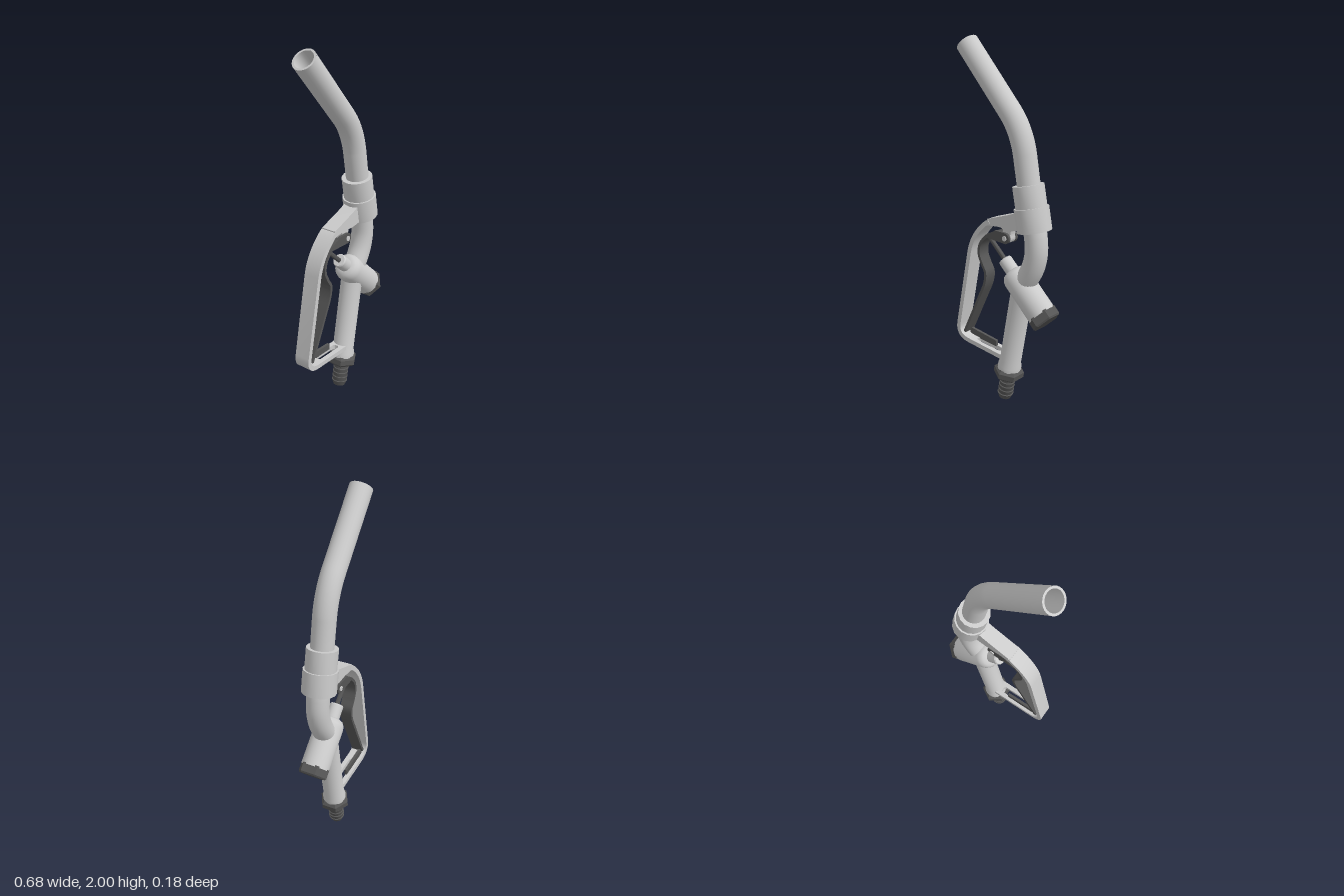
import * as THREE from 'three';
import { toCreasedNormals } from 'three/addons/utils/BufferGeometryUtils.js';

const V2 = (p) => new THREE.Vector2(p[0], p[1]);
const V3 = (p) => new THREE.Vector3(p[0], p[1], 0);

export function createModel() {
  const model = new THREE.Group();
  const grey = new THREE.MeshStandardMaterial({ color: 0xcccccc });
  const greyThin = new THREE.MeshStandardMaterial({ color: 0xcccccc, side: THREE.DoubleSide });
  const dark = new THREE.MeshStandardMaterial({ color: 0x555555 });

  function add(name, geometry, material) {
    const mesh = new THREE.Mesh(geometry, material);
    mesh.name = name;
    model.add(mesh);
    return mesh;
  }

  // Turned part: profile of [radius, distance from a], along the axis a -> b
  function turned(name, a, b, profile, sides = 24, material = grey) {
    const geo = toCreasedNormals(new THREE.LatheGeometry(profile.map(V2), sides), 0.6);
    const mesh = add(name, geo, material);
    mesh.position.copy(V3(a));
    mesh.quaternion.setFromUnitVectors(new THREE.Vector3(0, 1, 0), V3(b).sub(V3(a)).normalize());
    return mesh;
  }

  // Flat outline in the xy plane, centred on z
  function slab(name, shape, width, material = grey, z = 0) {
    const geo = new THREE.ExtrudeGeometry(shape, { depth: width, bevelEnabled: false, curveSegments: 16 });
    geo.translate(0, 0, z - width / 2);
    return add(name, toCreasedNormals(geo, 0.6), material);
  }

  // Bent strip: a centre line thickened in the xy plane
  function strip(name, points, thickness, width, material) {
    const left = [], right = [];
    points.forEach((p, i) => {
      const t = points[Math.min(i + 1, points.length - 1)].clone().sub(points[Math.max(i - 1, 0)]).normalize();
      const n = new THREE.Vector2(-t.y, t.x).multiplyScalar(thickness / 2);
      left.push(p.clone().add(n));
      right.unshift(p.clone().sub(n));
    });
    return slab(name, new THREE.Shape([...left, ...right]), width, material);
  }

  // Spout: open pipe with a bend
  const spoutPath = new THREE.CurvePath();
  spoutPath.add(new THREE.LineCurve3(V3([-0.27, 1.958]), V3([0.03, 1.625])));
  spoutPath.add(new THREE.QuadraticBezierCurve3(V3([0.03, 1.625]), V3([0.1, 1.545]), V3([0.125, 1.43])));
  spoutPath.add(new THREE.LineCurve3(V3([0.125, 1.43]), V3([0.165, 1.2])));
  add('spout', new THREE.TubeGeometry(spoutPath, 48, 0.061, 24), grey);
  add('spoutBore', new THREE.TubeGeometry(spoutPath, 48, 0.05, 24), greyThin);
  const rim = add('spoutRim', new THREE.RingGeometry(0.05, 0.061, 24), greyThin);
  rim.position.copy(V3([-0.27, 1.958]));
  rim.quaternion.setFromUnitVectors(new THREE.Vector3(0, 0, 1), V3([-0.3, 0.333]).normalize());

  // Stepped collar joining spout and body
  turned('collar', [0.195, 1.035], [0.15, 1.27],
    [[0, 0], [0.092, 0], [0.092, 0.125], [0.083, 0.125], [0.083, 0.24], [0, 0.24]], 16);

  // Curved neck down to the valve
  const neck = new THREE.CatmullRomCurve3(
    [[0.185, 1.09], [0.204, 1.0], [0.208, 0.92], [0.19, 0.84], [0.15, 0.765], [0.1, 0.7]].map(V3));
  add('neck', new THREE.TubeGeometry(neck, 28, 0.061, 24), grey);

  // Straight grip tube with a flared foot
  turned('gripTube', [0.022, 0.19], [0.125, 0.745],
    [[0, 0], [0.066, 0], [0.066, 0.035], [0.06, 0.055], [0.06, 0.54], [0, 0.54]]);

  // Hex nut and ribbed hose tail
  const tail = [-0.01, 0.008], up = [0.1, 0.6];
  turned('hexNut', tail, up,
    [[0, 0.14], [0.07, 0.14], [0.086, 0.155], [0.086, 0.185], [0.07, 0.2], [0, 0.2]], 6, dark);
  const ribs = [[0, 0], [0.034, 0]];
  for (let i = 0; i < 4; i++) {
    const y = 0.03 + i * 0.027;
    ribs.push([0.046, y], [0.041, y + 0.003]);
  }
  ribs.push([0.041, 0.15], [0, 0.15]);
  turned('hoseTail', tail, up, ribs, 20, dark);

  // Angled valve: plunger, sleeve, body and hex cap on one axis
  const start = [-0.115, 0.935], end = [0.288, 0.552];
  turned('plunger', start, end, [[0, 0], [0.013, 0], [0.013, 0.18], [0, 0.18]], 12, dark);
  turned('plungerSleeve', start, end,
    [[0, 0.145], [0.033, 0.145], [0.038, 0.152], [0.038, 0.26], [0, 0.26]], 20);
  turned('valveBody', start, end,
    [[0, 0.222], [0.04, 0.222], [0.06, 0.23], [0.073, 0.248], [0.078, 0.27], [0.078, 0.507], [0, 0.507]], 28);
  turned('valveCap', start, end,
    [[0, 0.5], [0.084, 0.5], [0.084, 0.548], [0.076, 0.556], [0, 0.556]], 6, dark);

  // Guard: bent band down to the lower corner
  const guardPath = new THREE.CurvePath();
  const line = (a, b) => guardPath.add(new THREE.LineCurve(V2(a), V2(b)));
  const bend = (a, b, c) => guardPath.add(new THREE.QuadraticBezierCurve(V2(a), V2(b), V2(c)));
  line([-0.085, 1.04], [-0.105, 1.03]);
  bend([-0.105, 1.03], [-0.21, 0.95], [-0.235, 0.84]);
  line([-0.235, 0.84], [-0.328, 0.385]);
  bend([-0.328, 0.385], [-0.345, 0.302], [-0.25, 0.295]);
  line([-0.25, 0.295], [-0.235, 0.2935]);
  strip('guardBand', guardPath.getPoints(10).filter((p, i, a) => !i || p.distanceTo(a[i - 1]) > 1e-5), 0.026, 0.09, grey);

  // Slotted lower plate of the guard
  const plate = new THREE.Shape([[0, -0.045], [0.24, -0.045], [0.24, 0.045], [0, 0.045]].map(V2));
  const slot = new THREE.Path();
  slot.absarc(0.04, 0, 0.018, Math.PI / 2, Math.PI * 1.5);
  slot.absarc(0.19, 0, 0.018, -Math.PI / 2, Math.PI / 2);
  plate.holes.push(slot);
  const lower = slab('guardPlate', plate, 0.026);
  lower.position.set(-0.24, 0.294, 0);
  lower.rotation.set(-Math.PI / 2, -0.09, 0, 'ZYX');
  lower.rotation.set(-Math.PI / 2, 0, -0.09, 'ZYX');

  // Guard bracket reaching the collar
  slab('guardBracket', new THREE.Shape([[-0.1, 1.053], [0.06, 1.105], [0.14, 1.14], [0.16, 1.04], [0.1, 1.025],
    [0.05, 1.02], [-0.02, 1.025], [-0.1, 1.018]].map(V2)), 0.085);

  // Pivot lug under the bracket
  const pivot = [0.02, 0.966];
  const lug = new THREE.Shape();
  lug.moveTo(-0.025, 1.03);
  lug.quadraticCurveTo(0.0, 1.01, -0.008, 0.966);
  lug.absarc(pivot[0], pivot[1], 0.028, Math.PI, Math.PI * 2);
  lug.quadraticCurveTo(0.04, 1.01, 0.07, 1.03);
  slab('pivotLug', lug, 0.04);

  // Lever: two cheeks on the pivot and a bent strip
  for (const z of [-0.03, 0.03]) {
    const cheek = new THREE.Shape();
    cheek.moveTo(-0.12, 0.945);
    cheek.lineTo(0.01, 0.938);
    cheek.absarc(pivot[0], pivot[1], 0.03, -Math.PI / 2, Math.PI / 2);
    cheek.lineTo(-0.05, 0.998);
    const hole = new THREE.Path();
    hole.absarc(pivot[0], pivot[1], 0.014, 0, Math.PI * 2);
    cheek.holes.push(hole);
    slab('leverCheek', cheek, 0.014, dark, z);
  }
  const pin = add('pivotPin', new THREE.CylinderGeometry(0.014, 0.014, 0.084, 16), grey);
  pin.position.set(pivot[0], pivot[1], 0);
  pin.rotation.x = Math.PI / 2;

  const leverCurve = new THREE.SplineCurve([[-0.05, 0.985], [-0.11, 0.955], [-0.16, 0.9], [-0.172, 0.84],
    [-0.15, 0.785], [-0.124, 0.735], [-0.133, 0.67], [-0.165, 0.6]].map(V2));
  strip('lever', [...leverCurve.getPoints(40), V2([-0.293, 0.335])], 0.016, 0.07, dark);

  // Hold-open rack standing on the lower plate
  slab('holdOpenRack', new THREE.Shape([[-0.295, 0.35], [-0.285, 0.305], [-0.085, 0.29], [-0.085, 0.325]].map(V2)),
    0.016, dark, -0.018);

  return model;
}
